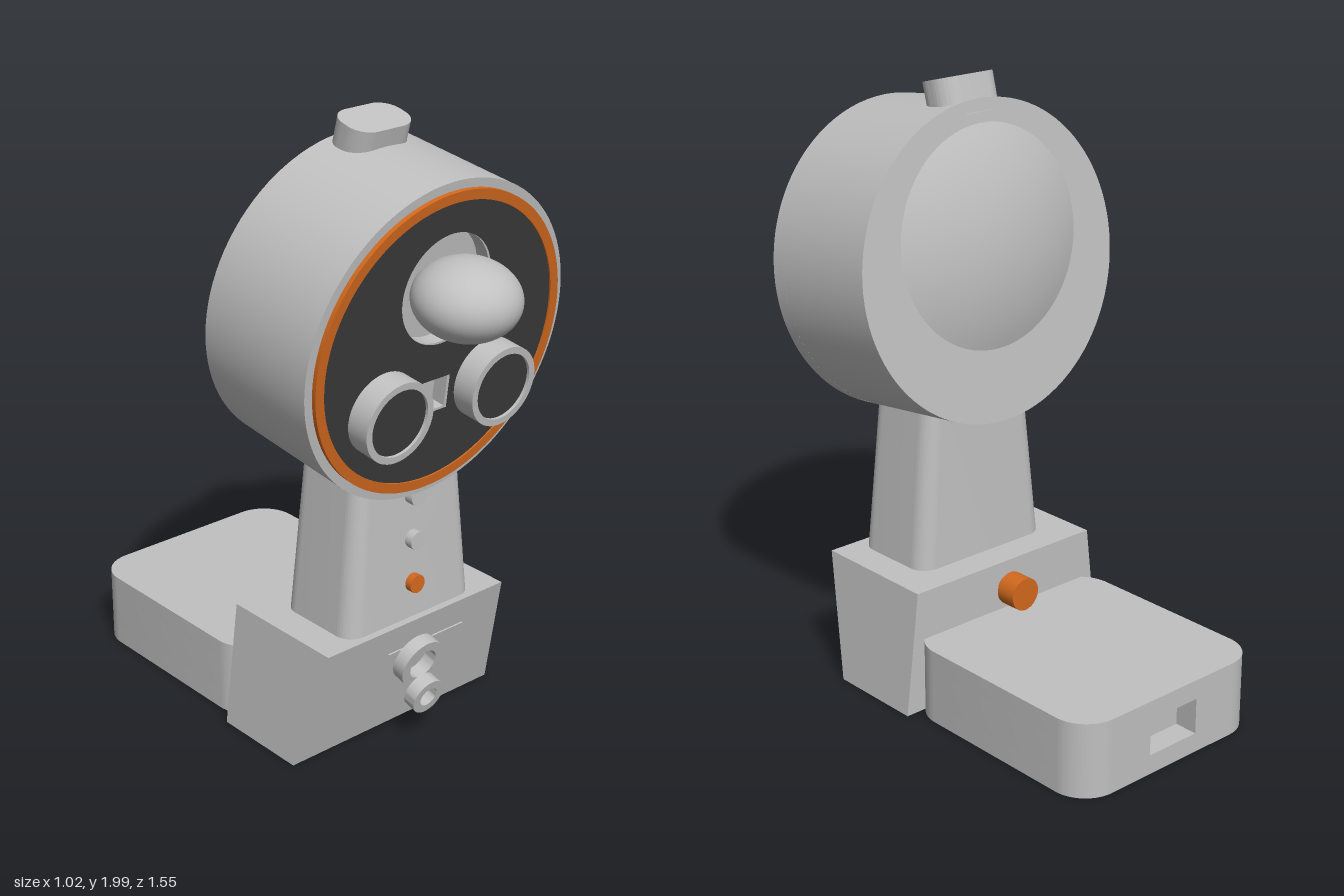
import * as THREE from 'three';
import { toCreasedNormals } from 'three/addons/utils/BufferGeometryUtils.js';

const mat = (name, color) => {
  const m = new THREE.MeshStandardMaterial({ color });
  m.name = name;
  return m;
};

// Rounded rectangle outline, with an optional notch cut into its +y edge
function roundedRect(w, h, r, notchW = 0, notchD = 0) {
  const s = new THREE.Shape();
  const x = w / 2, y = h / 2;
  s.absarc(x - r, -y + r, r, -Math.PI / 2, 0, false);
  s.absarc(x - r, y - r, r, 0, Math.PI / 2, false);
  if (notchW) {
    s.lineTo(notchW / 2, y);
    s.lineTo(notchW / 2, y - notchD);
    s.lineTo(-notchW / 2, y - notchD);
    s.lineTo(-notchW / 2, y);
  }
  s.absarc(-x + r, y - r, r, Math.PI / 2, Math.PI, false);
  s.absarc(-x + r, -y + r, r, Math.PI, Math.PI * 1.5, false);
  s.closePath();
  return s;
}

const extrude = (shape, depth) => toCreasedNormals(
  new THREE.ExtrudeGeometry(shape, { depth, bevelEnabled: false, curveSegments: 24 }), 0.6);

// Extrusion standing upright: shape +y points to the back
const upright = (shape, depth) => extrude(shape, depth).rotateX(-Math.PI / 2);

const disc = (r, hole) => {
  const s = new THREE.Shape();
  s.absarc(0, 0, r, 0, Math.PI * 2, false);
  if (hole) s.holes.push(new THREE.Path().absarc(0, 0, hole, 0, Math.PI * 2, true));
  return s;
};

// Cylinder along z, from z = 0 to z = len
const zCylinder = (r, len) =>
  new THREE.CylinderGeometry(r, r, len, 48).rotateX(Math.PI / 2).translate(0, 0, len / 2);

export function createModel() {
  const grey = mat('silver grey', 0xc0c0c0);
  const dark = mat('charcoal', 0x3a3a3a);
  const orange = mat('orange', 0xd2691e);
  const model = new THREE.Group();

  const add = (parent, name, geo, material, x = 0, y = 0, z = 0, rx = 0) => {
    const m = new THREE.Mesh(geo, material);
    m.name = name;
    m.position.set(x, y, z);
    m.rotation.x = rx;
    parent.add(m);
    return m;
  };

  // Rear tray in three layers, the middle one notched for the port
  const tray = new THREE.Group();
  tray.name = 'rearTray';
  model.add(tray);
  [[0, 0.065, 0], [0.065, 0.12, 0.2], [0.185, 0.065, 0]].forEach(([y, h, notch]) =>
    add(tray, 'trayLayer', upright(roundedRect(0.76, 0.8, 0.12, notch, 0.08), h), grey, 0, y, -0.365));

  // Base block: sides taper upward, front leans forward
  const base = new THREE.BoxGeometry(1, 1, 1);
  const bp = base.attributes.position;
  for (let i = 0; i < bp.count; i++) {
    const top = bp.getY(i) > 0;
    const front = bp.getZ(i) > 0;
    bp.setXYZ(i, Math.sign(bp.getX(i)) * (top ? 0.37 : 0.42), top ? 0.415 : 0,
      front ? (top ? 0.445 : 0.335) : 0);
  }
  base.computeVertexNormals();
  add(model, 'base', base, grey);

  // Rings and slot on the sloping front of the base
  const slope = Math.atan2(0.11, 0.415);
  add(model, 'largeFrontRing', extrude(disc(0.085, 0.053), 0.045), grey, 0, 0.275, 0.428, slope);
  add(model, 'smallFrontRing', extrude(disc(0.062, 0.034), 0.045), grey, 0, 0.168, 0.456, slope);
  add(model, 'frontSlot', new THREE.BoxGeometry(0.32, 0.006, 0.008), grey, 0.06, 0.31, 0.418, slope);

  // Rear knob
  add(model, 'rearKnobStem', zCylinder(0.03, 0.05), orange, 0, 0.33, -0.04);
  add(model, 'rearKnob', zCylinder(0.055, 0.073), orange, 0, 0.33, -0.098);

  // Tapered neck
  const neck = upright(roundedRect(0.53, 0.316, 0.06), 0.585);
  const np = neck.attributes.position;
  for (let i = 0; i < np.count; i++) {
    const t = np.getY(i) / 0.505;
    np.setX(i, np.getX(i) * (1 - 0.19 * t));
    np.setZ(i, np.getZ(i) * (1 - 0.1 * t));
  }
  add(model, 'neck', toCreasedNormals(neck, 0.6), grey, 0, 0.415, 0.262);

  // Buttons up the neck
  [[0.535, orange], [0.685, grey], [0.835, grey]].forEach(([y, m]) =>
    add(model, 'neckButton', zCylinder(0.03, 0.06), m, 0, y, 0.38));

  // Head, tilted forward; its z axis runs from back face to front face
  const head = new THREE.Group();
  head.name = 'head';
  head.position.set(0, 1.415, 0.06);
  head.rotation.x = 0.124;
  model.add(head);

  // Front openings: round socket and small square window
  const withOpenings = (r) => {
    const s = disc(r);
    s.holes.push(new THREE.Path().absarc(0, 0.178, 0.175, 0, Math.PI * 2, true));
    s.holes.push(new THREE.Path([[-0.055, -0.225], [-0.055, -0.115], [0.055, -0.115], [0.055, -0.225]]
      .map(([x, y]) => new THREE.Vector2(x, y))).closePath());
    return s;
  };
  add(head, 'headDrum', new THREE.CylinderGeometry(0.51, 0.51, 0.4, 96).rotateX(Math.PI / 2), grey, 0, 0, 0.2);
  add(head, 'headFront', toCreasedNormals(new THREE.ExtrudeGeometry(withOpenings(0.51),
    { depth: 0.05, bevelEnabled: false, curveSegments: 96 }), 0.6), grey, 0, 0, 0.4);
  add(head, 'facePlate', new THREE.ShapeGeometry(withOpenings(0.452), 64), dark, 0, 0, 0.46);
  add(head, 'faceRing', toCreasedNormals(new THREE.ExtrudeGeometry(disc(0.482, 0.45),
    { depth: 0.018, bevelEnabled: false, curveSegments: 64 }), 0.6), orange, 0, 0, 0.447);

  // Egg-shaped nose in the socket
  const nose = new THREE.SphereGeometry(1, 48, 32).scale(0.165, 0.12, 0.163);
  add(head, 'nose', nose, grey, 0, 0.181, 0.541);

  // Round eyes with dark lenses
  for (const side of [-1, 1]) {
    add(head, 'eyeRim', extrude(disc(0.13, 0.108), 0.1), grey, side * 0.21, -0.165, 0.44);
    add(head, 'eyeLens', zCylinder(0.11, 0.09), dark, side * 0.21, -0.165, 0.44);
  }

  // Shallow dome on the back
  const profile = [];
  const domeR = 0.355, domeH = 0.07;
  const R = (domeR * domeR + domeH * domeH) / (2 * domeH);
  const maxA = Math.asin(domeR / R);
  for (let i = 0; i <= 12; i++) {
    const a = maxA * (1 - i / 12);
    profile.push(new THREE.Vector2(R * Math.sin(a), R * Math.cos(a) - R + domeH));
  }
  add(head, 'backDome', new THREE.LatheGeometry(profile, 64).rotateX(-Math.PI / 2), grey, 0, 0.08, 0);

  // Button on top of the head
  add(model, 'topButton', upright(roundedRect(0.23, 0.148, 0.065), 0.12), grey, 0, 1.86, 0.189, 0.26);

  return model;
}
